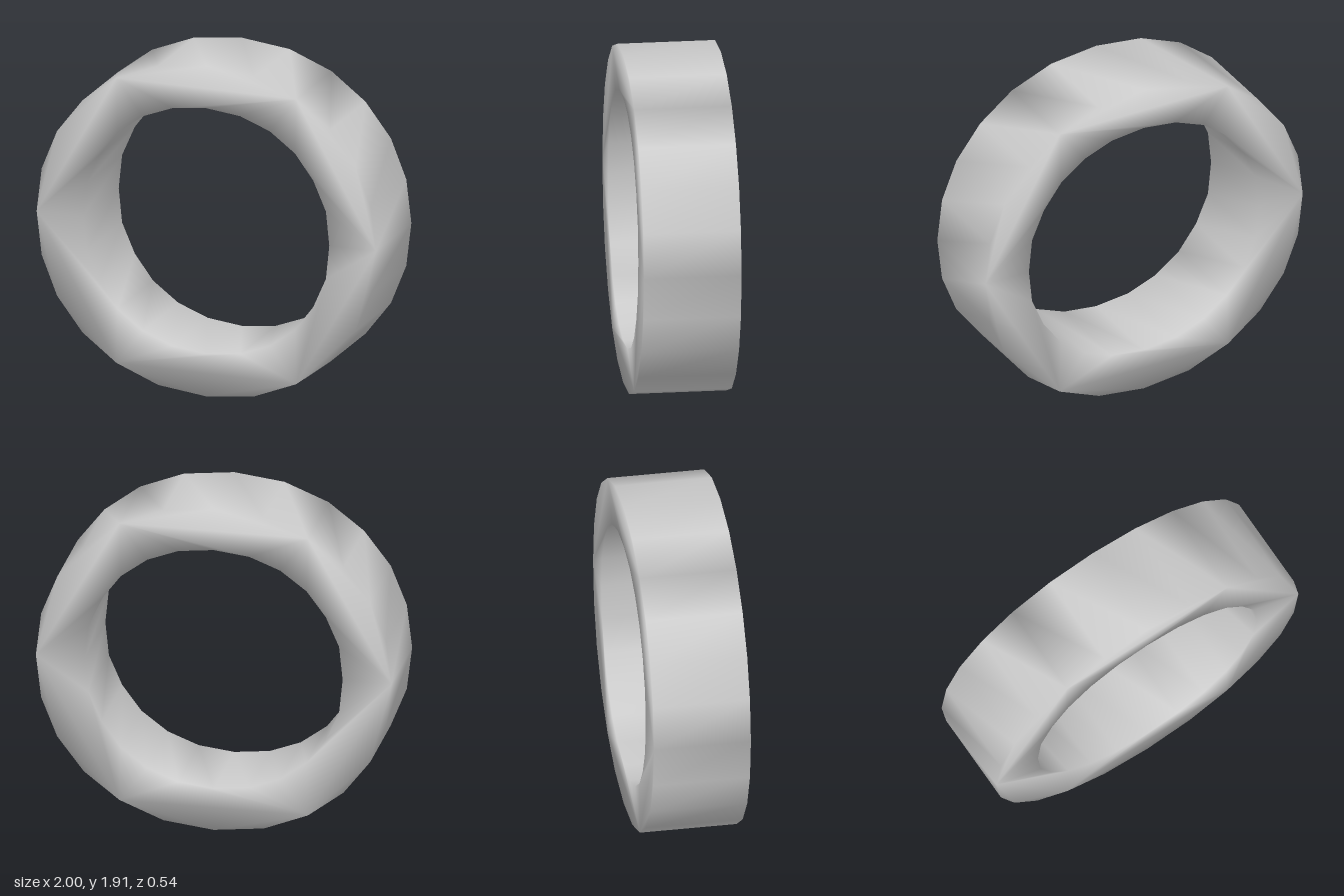
import * as THREE from 'three';
import { mergeVertices } from 'three/addons/utils/BufferGeometryUtils.js';

const CENTER_Y = 0.955;
const WIDTH = 0.54;

// Quarter outlines, from the side (+x) up to the top, about the ring's centre
const OUTER = [[1, 0], [0.97, 0.25], [0.88, 0.475], [0.73, 0.67], [0.53, 0.823], [0.283, 0.922], [0, 0.955]];
const INNER = [[0.725, 0], [0.705, 0.195], [0.63, 0.366], [0.522, 0.51], [0.374, 0.62], [0.2, 0.687], [0, 0.71]];

// Mirror a quarter outline into a closed 24-sided loop
function fullLoop(quarter) {
  const n = quarter.length - 1;
  const points = [];
  for (let i = 0; i < 4 * n; i++) {
    const q = Math.floor(i / n);
    const k = i % n;
    const [x, y] = quarter[q % 2 ? n - k : k];
    const sx = q === 1 || q === 2 ? -1 : 1;
    const sy = q >= 2 ? -1 : 1;
    points.push(new THREE.Vector2(sx * x, sy * y));
  }
  return points;
}

export function createModel() {
  const group = new THREE.Group();
  group.name = 'ring';

  // Flat-sided band with an open centre
  const shape = new THREE.Shape(fullLoop(OUTER));
  shape.holes.push(new THREE.Path(fullLoop(INNER).reverse()));
  let geometry = new THREE.ExtrudeGeometry(shape, { depth: WIDTH, bevelEnabled: false });
  geometry.translate(0, CENTER_Y, -WIDTH / 2);

  // Share corners so that shading runs smoothly over the rims
  geometry.deleteAttribute('normal');
  geometry.deleteAttribute('uv');
  geometry = mergeVertices(geometry, 1e-4);
  geometry.computeVertexNormals();

  const band = new THREE.Mesh(geometry, new THREE.MeshStandardMaterial({ color: 0xcccccc }));
  band.name = 'band';
  group.add(band);
  return group;
}
